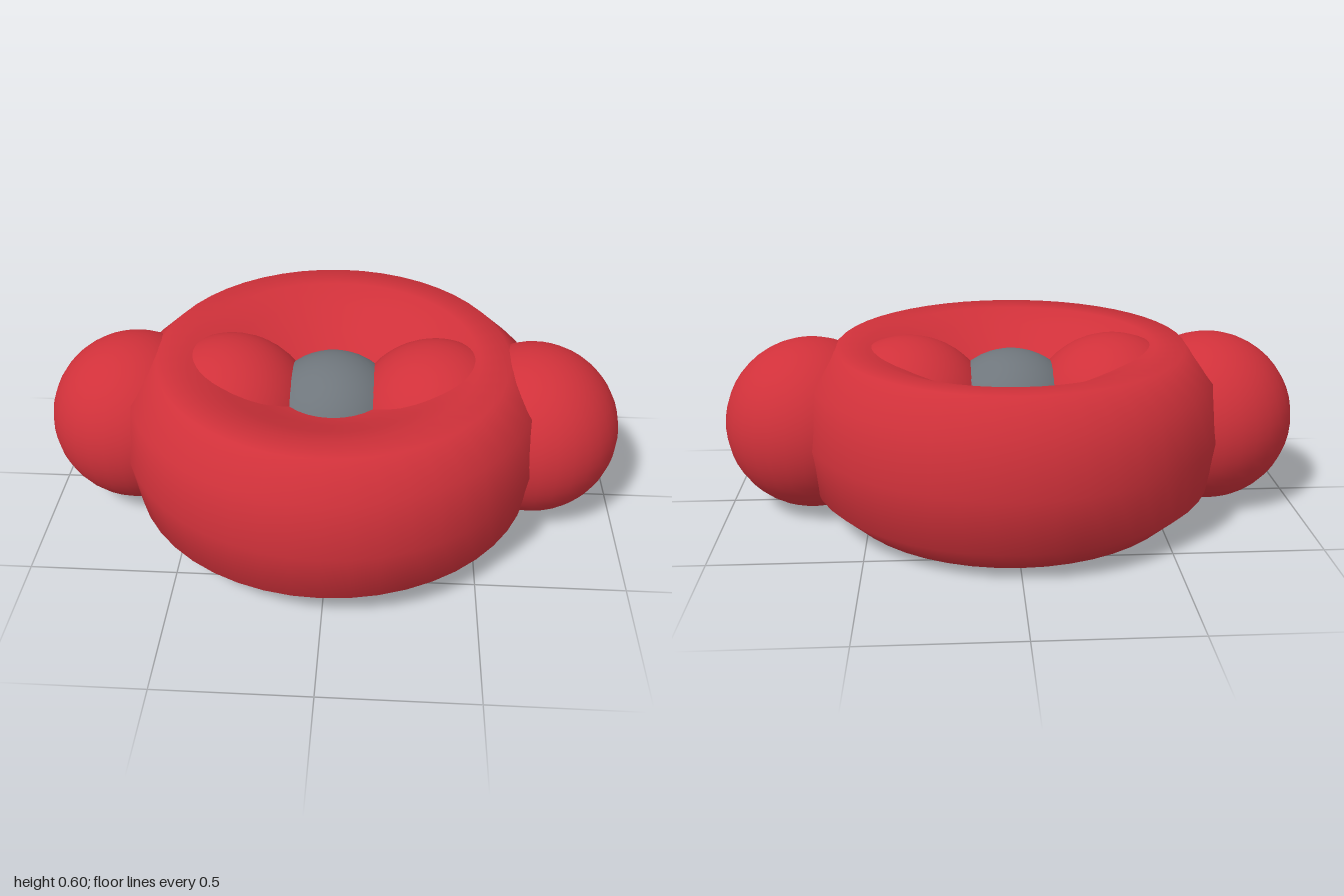
import * as THREE from 'three';

export function createModel() {
  const model = new THREE.Group();
  model.name = 'cell';
  const red = new THREE.MeshStandardMaterial({ color: 0xd0313a });
  red.name = 'red';
  const grey = new THREE.MeshStandardMaterial({ color: 0x6f767c });
  grey.name = 'grey';
  const midY = 0.3;

  function add(name, geometry, material, x = 0) {
    const mesh = new THREE.Mesh(geometry, material);
    mesh.name = name;
    mesh.position.set(x, midY, 0);
    model.add(mesh);
  }

  // Biconcave disc: half profile from the rim to the axis, mirrored below
  const upper = [
    [0.703, 0.188], [0.601, 0.284], [0.5, 0.279], [0.4, 0.238],
    [0.3, 0.19], [0.2, 0.148], [0.1, 0.125], [0, 0.12],
  ];
  const profile = [
    ...upper.map(([r, h]) => new THREE.Vector2(r, -h)).reverse(),
    new THREE.Vector2(0.733, 0),
    ...upper.map(([r, h]) => new THREE.Vector2(r, h)),
  ];
  add('disc', new THREE.LatheGeometry(profile, 48), red);

  // Grey core with a red lobe and an outer ball on each side
  add('core', new THREE.SphereGeometry(0.249, 32, 24), grey);
  const ball = new THREE.SphereGeometry(0.3, 32, 24);
  for (const [side, s] of [['left', 1], ['right', -1]]) {
    add(side + 'InnerLobe', ball, red, s * 0.36);
    add(side + 'OuterBall', ball, red, s * 0.7);
  }
  return model;
}
